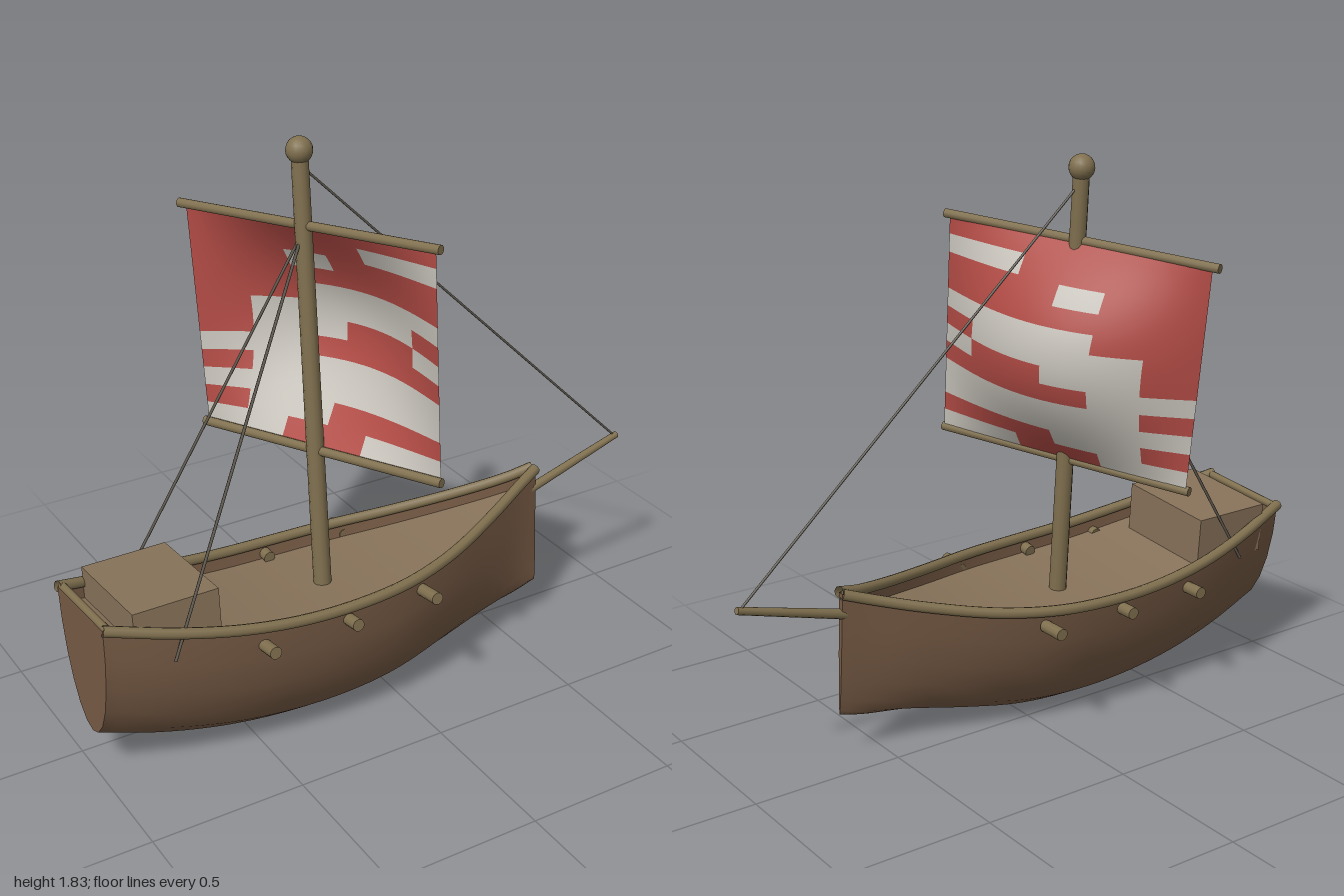
import * as THREE from 'three';

const mat = (color) => new THREE.MeshStandardMaterial({ color, side: THREE.DoubleSide, roughness: 0.9 });
const hullMat = mat(0x775b45), deckMat = mat(0x88735a), sparMat = mat(0x80704f), ropeMat = mat(0x5e584e);
const redMat = mat(0xb04a44), whiteMat = mat(0xc6c2ba);
const V = (x, y, z) => new THREE.Vector3(x, y, z);

// Stations along the hull: x, keel height, rail height, half breadth
const stations = [
  [-1, 0.143, 0.562, 0.166], [-0.8, 0.078, 0.513, 0.217], [-0.6, 0.032, 0.474, 0.252],
  [-0.4, 0.006, 0.45, 0.268], [-0.2, -0.002, 0.443, 0.268], [0, 0.012, 0.448, 0.246],
  [0.2, 0.051, 0.466, 0.188], [0.4, 0.096, 0.502, 0.107], [0.55, 0.122, 0.538, 0.043], [0.645, 0.147, 0.567, 0.01],
];
const hullZ = 0.015; // centre line of the hull
const railCurve = new THREE.CatmullRomCurve3(stations.map(([x, , y, b]) => V(x, y, b)), false, 'catmullrom');
const keelCurve = new THREE.CatmullRomCurve3(stations.map(([x, y]) => V(x, y, 0)), false, 'catmullrom');

// Elliptical frame: a runs from -1 (right rail) through the keel to 1 (left rail)
function framePoint(t, a) {
  const top = railCurve.getPoint(t), keel = keelCurve.getPoint(t);
  const ang = a * Math.PI / 2;
  return V(top.x, keel.y + (top.y - keel.y) * (1 - Math.cos(ang)), hullZ + top.z * Math.sin(ang));
}

// Grid surface from a rule of u and v
function surface(nu, nv, rule) {
  const geo = new THREE.PlaneGeometry(1, 1, nu, nv), pos = geo.attributes.position;
  for (let i = 0; i < pos.count; i++) {
    const p = rule(pos.getX(i) + 0.5, 0.5 - pos.getY(i));
    pos.setXYZ(i, p.x, p.y, p.z);
  }
  geo.computeVertexNormals();
  return geo;
}

// Round pole between two points
function pole(a, b, rA, rB = rA, sides = 10) {
  const geo = new THREE.CylinderGeometry(rB, rA, a.distanceTo(b), sides);
  const dir = b.clone().sub(a).normalize();
  geo.applyQuaternion(new THREE.Quaternion().setFromUnitVectors(V(0, 1, 0), dir));
  return geo.translate((a.x + b.x) / 2, (a.y + b.y) / 2, (a.z + b.z) / 2);
}

export function createModel() {
  const model = new THREE.Group();
  const ship = new THREE.Group();
  ship.name = 'sailingBoat';
  model.add(ship);
  const add = (name, geo, material) => {
    const mesh = new THREE.Mesh(geo, material);
    mesh.name = name;
    ship.add(mesh);
    return mesh;
  };

  // Hull shell with flat stern and narrow stem
  add('hull', surface(40, 12, (u, v) => framePoint(u, v * 2 - 1)), hullMat);
  for (const [name, t] of [['transom', 0], ['stem', 1]]) {
    const top = railCurve.getPoint(t).setZ(hullZ);
    add(name, surface(12, 1, (u, v) => framePoint(t, u * 2 - 1).lerp(top, v)), hullMat);
  }

  // Deck set a little below the rail
  add('deck', surface(36, 2, (u, v) => {
    const p = framePoint(u * 0.98, 0.92);
    p.z = hullZ + (p.z - hullZ) * 0.985 * (v * 2 - 1);
    return p;
  }), deckMat);

  // Rails along both sides and across the stern
  for (const side of [1, -1]) {
    const pts = railCurve.getPoints(24).map((p) => V(p.x, p.y, hullZ + p.z * side));
    add(side > 0 ? 'leftRail' : 'rightRail',
      new THREE.TubeGeometry(new THREE.CatmullRomCurve3(pts), 48, 0.018, 8), sparMat);
  }
  add('sternRail', pole(V(-0.985, 0.56, hullZ - 0.166), V(-0.985, 0.56, hullZ + 0.166), 0.013), sparMat);

  // Stern chest
  add('sternChest', new THREE.BoxGeometry(0.28, 0.17, 0.365).translate(-0.77, 0.506, 0.01), deckMat);

  // Pegs through the sides
  for (const side of [1, -1]) for (const x of [-0.53, -0.245, 0.04])
    add('sidePeg', pole(V(x, 0.4, hullZ + side * 0.235), V(x, 0.407, hullZ + side * 0.325), 0.02), sparMat);

  // Mast with ball, and bowsprit
  add('mast', pole(V(-0.175, 0.36, 0), V(-0.175, 1.78, 0), 0.029, 0.026, 12), sparMat);
  add('mastBall', new THREE.SphereGeometry(0.041, 16, 12).translate(-0.175, 1.795, 0), sparMat);
  add('bowsprit', pole(V(0.57, 0.475, hullZ), V(0.995, 0.598, hullZ), 0.017, 0.012), sparMat);

  // Swung rig: local z runs along the yards, local x is downwind
  const rig = new THREE.Group();
  rig.name = 'rig';
  rig.position.x = -0.175;
  rig.rotation.y = 0.39;
  ship.add(rig);
  const yards = [['upperYard', 1.569, -0.485, 0.487], ['lowerYard', 0.847, -0.447, 0.47]];
  for (const [name, y, right, left] of yards)
    rig.add(add(name, pole(V(0, y, right), V(0, y, left), 0.015), sparMat));

  // Billowing sail, split into red and white patches
  const pattern = [
    'RRRRRR', 'WWRRRR', 'RRRWRR', 'RRRRRR', 'WWWWRR', 'RWWWWR',
    'WRRWWR', 'RRRRWW', 'WWWWWR', 'WWWWWW', 'RRRWWR', 'WWRRWW',
  ];
  const cols = 24, rows = 24;
  const sail = surface(cols, rows, (u, v) => V(
    0.008 + 0.175 * Math.sin(Math.PI * u) * Math.sin(Math.PI * v),
    1.567 - 0.715 * v,
    (0.5 - u) * (0.93 - 0.03 * v) + 0.012 * v));
  const patches = { R: [], W: [] };
  for (let r = 0; r < rows; r++) for (let c = 0; c < cols; c++) {
    const start = (r * cols + c) * 6;
    const key = pattern[Math.floor(r * 12 / rows)][Math.floor(c * 6 / cols)];
    for (let k = 0; k < 6; k++) patches[key].push(sail.index.getX(start + k));
  }
  for (const [key, name, material] of [['R', 'redSailCloth', redMat], ['W', 'whiteSailCloth', whiteMat]]) {
    const geo = sail.clone();
    geo.setIndex(patches[key]);
    rig.add(add(name, geo, material));
  }

  // Stays
  add('foreStay', pole(V(-0.17, 1.745, 0), V(0.98, 0.602, hullZ), 0.004, 0.004, 6), ropeMat);
  for (const [x, z] of [[-0.815, 0.255], [-0.785, -0.215]])
    add('backStay', pole(V(-0.18, 1.545, 0), V(x, 0.435, z), 0.005, 0.005, 6), ropeMat);

  // Whole boat heels slightly to one side
  ship.rotation.x = -0.078;
  ship.position.z = 0.1;
  return model;
}
